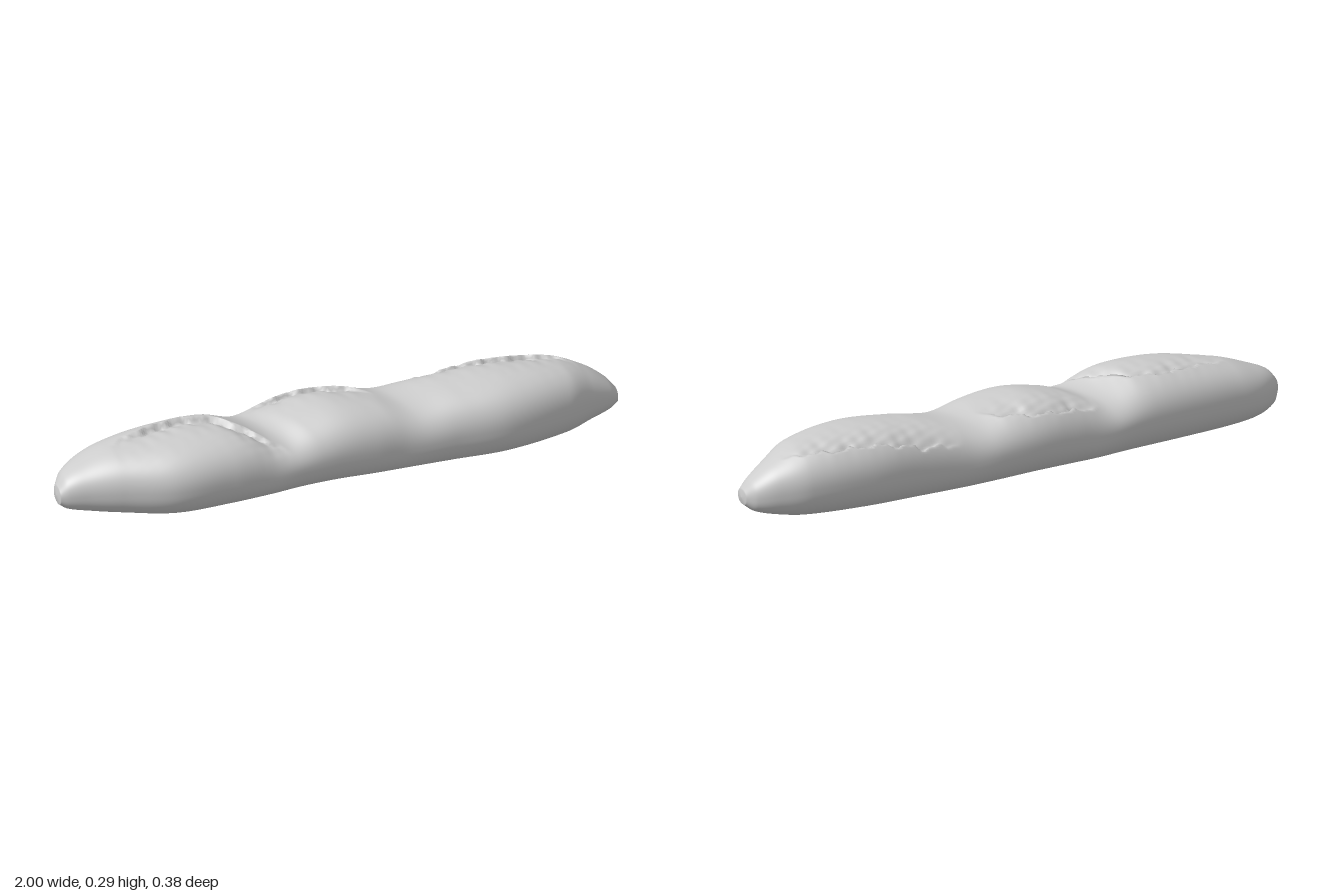
import * as THREE from 'three';

// Stations along the loaf: x, top y, bottom y, back z, front z
const stations = [
  [-1.0, 0.145, 0.085, -0.035, 0.035], [-0.97, 0.18, 0.06, -0.08, 0.05],
  [-0.9, 0.215, 0.04, -0.125, 0.075], [-0.8, 0.25, 0.026, -0.145, 0.115],
  [-0.62, 0.281, 0.014, -0.16, 0.182], [-0.42, 0.282, 0.012, -0.17, 0.185],
  [-0.27, 0.236, 0.016, -0.18, 0.172], [-0.17, 0.264, 0.016, -0.187, 0.167],
  [-0.04, 0.288, 0.014, -0.19, 0.165], [0.1, 0.273, 0.008, -0.182, 0.16],
  [0.22, 0.246, 0.004, -0.17, 0.15], [0.38, 0.27, 0.001, -0.165, 0.154],
  [0.58, 0.285, 0.002, -0.166, 0.165], [0.8, 0.26, 0.014, -0.142, 0.125],
  [0.9, 0.212, 0.032, -0.105, 0.078], [0.97, 0.16, 0.052, -0.065, 0.048],
  [1.0, 0.125, 0.075, -0.03, 0.03],
];

// Baker's slashes: x, z along each cut
const slashes = [
  [[-0.8, -0.03], [-0.68, -0.055], [-0.53, -0.07], [-0.42, -0.035], [-0.33, 0.05], [-0.21, 0.14]],
  [[-0.28, -0.12], [-0.18, -0.14], [-0.05, -0.14], [0.05, -0.11], [0.14, -0.05]],
  [[0.24, -0.145], [0.4, -0.14], [0.58, -0.115], [0.74, -0.09], [0.87, -0.04]],
];

// Smooth interpolation of column k in a table sorted by its first column
function sample(table, x, k) {
  const n = table.length - 1;
  let i = 0;
  while (i < n - 1 && x > table[i + 1][0]) i++;
  const slope = (j) => {
    const a = table[Math.max(j - 1, 0)], b = table[Math.min(j + 1, n)];
    return (b[k] - a[k]) / (b[0] - a[0]);
  };
  const p = table[i], q = table[i + 1], h = q[0] - p[0];
  const t = THREE.MathUtils.clamp((x - p[0]) / h, 0, 1), s = 1 - t;
  return p[k] * (1 + 2 * t) * s * s + q[k] * t * t * (3 - 2 * t)
    + h * (slope(i) * t * s * s - slope(i + 1) * t * t * s);
}

// Torn crust: a hollow in front of each cut and a raised lip behind it
function slashHeight(x, z) {
  let height = 0;
  for (const cut of slashes) {
    const x0 = cut[0][0], x1 = cut[cut.length - 1][0];
    if (x <= x0 || x >= x1) continue;
    const t = (x - x0) / (x1 - x0);
    const strength = Math.min(1, 4 * t, 4 * (1 - t));
    const ragged = 0.005 * Math.sin(x * 61) + 0.003 * Math.sin(x * 137 + 1);
    const d = z - sample(cut, x, 1) - ragged;
    const step = THREE.MathUtils.smoothstep(d, -0.006, 0.006);
    const rough = 1 + 0.2 * Math.sin(x * 83 + z * 60) * Math.sin(z * 120 - x * 25);
    const hollow = -0.026 * Math.exp(-Math.max(d, 0) / 0.045) * rough;
    const lip = 0.007 * Math.exp(Math.min(d, 0) / 0.035);
    height += strength * (hollow * step + lip * (1 - step));
  }
  return height;
}

function createLoafGeometry() {
  const along = 260, around = 132;
  const positions = [], indices = [];
  for (let i = 0; i <= along; i++) {
    // The first and last rings close to a point
    const closed = i === 0 || i === along;
    const u = THREE.MathUtils.clamp((i - 1) / (along - 2), 0, 1);
    const x = THREE.MathUtils.lerp(2 * u - 1, -Math.cos(Math.PI * u), 0.6);
    const bottom = sample(stations, x, 2), top = sample(stations, x, 1);
    const back = sample(stations, x, 3), front = sample(stations, x, 4);
    const middle = bottom + (top - bottom) * 0.48;
    const inner = THREE.MathUtils.smoothstep(1 - Math.abs(x), 0.05, 0.35);
    for (let j = 0; j < around; j++) {
      const a = (j / around) * Math.PI * 2;
      const c = Math.cos(a), s = Math.sin(a);
      const power = 2 / (s > 0 ? 2.4 : 2.3);
      const z = (front + back) / 2 + (front - back) / 2 * Math.sign(c) * Math.abs(c) ** power;
      const lift = Math.abs(s) ** power;
      let y = middle - (middle - bottom) * lift;
      if (s > 0) {
        // Dips between the swollen segments run diagonally
        const crest = sample(stations, x - 0.45 * z * inner, 1);
        y = middle + (crest - middle) * lift + slashHeight(x, z) * Math.min(1, lift * 1.3);
      }
      if (closed) positions.push(Math.sign(x), middle, (front + back) / 2);
      else positions.push(x * 0.997, y, z);
      if (i < along) {
        const p = i * around + j, q = i * around + (j + 1) % around;
        indices.push(p, p + around, q, q, p + around, q + around);
      }
    }
  }
  const geometry = new THREE.BufferGeometry();
  geometry.setAttribute('position', new THREE.Float32BufferAttribute(positions, 3));
  geometry.setIndex(indices);
  geometry.computeVertexNormals();
  return geometry;
}

export function createModel() {
  const group = new THREE.Group();
  group.name = 'baguette';
  const loaf = new THREE.Mesh(
    createLoafGeometry(),
    new THREE.MeshStandardMaterial({ color: 0xcccccc, roughness: 0.8 }),
  );
  loaf.name = 'loaf';
  group.add(loaf);
  return group;
}
